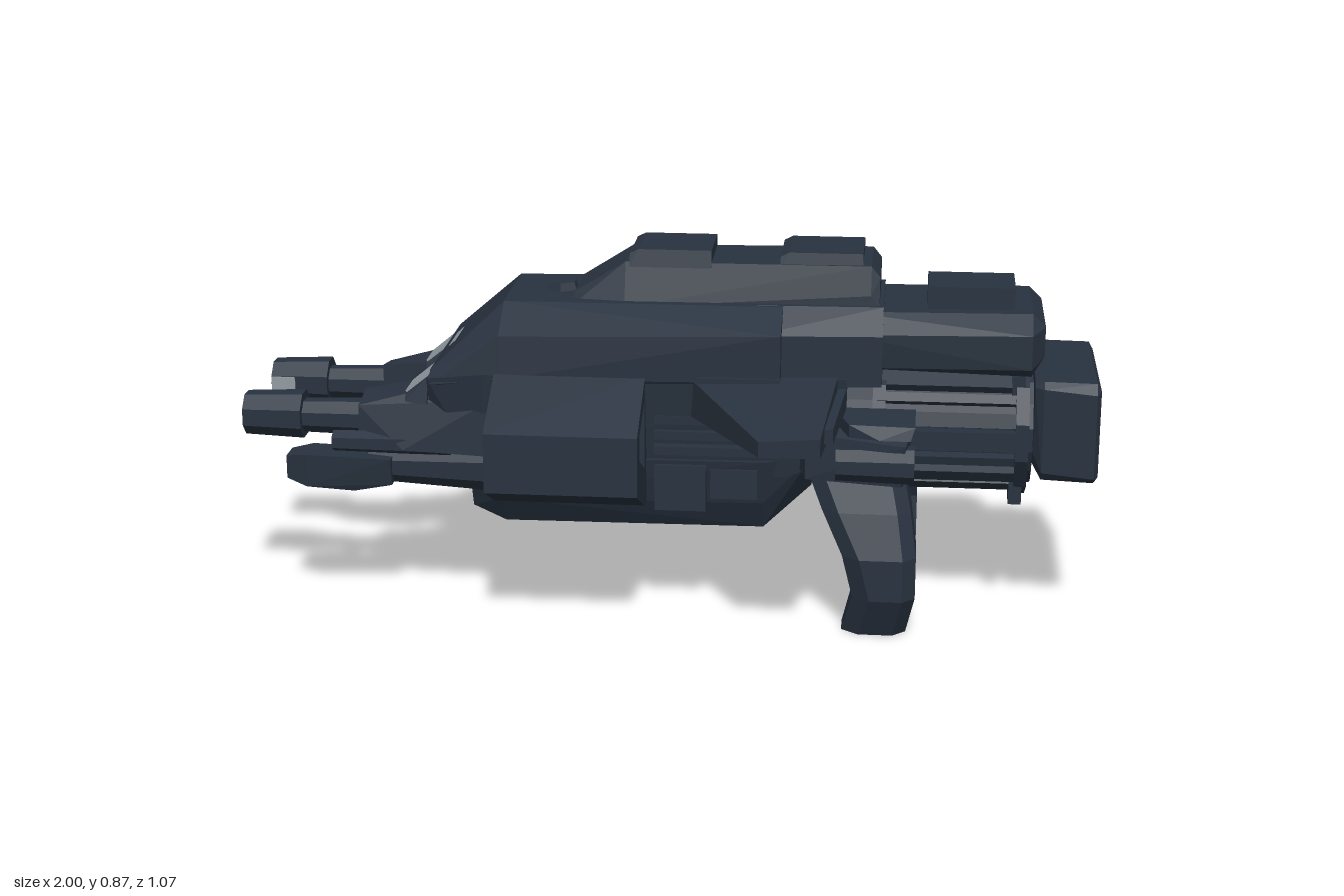
import * as THREE from 'three';
import { ConvexGeometry } from 'three/addons/geometries/ConvexGeometry.js';

export function createModel() {
  const root = new THREE.Group();
  root.name = 'gunship';
  const mat = (name, color) => {
    const m = new THREE.MeshStandardMaterial({ color, flatShading: true });
    m.name = name;
    return m;
  };
  const armour = mat('dark slate armour', 0x28323f);
  const glass = mat('pale grey glass', 0x939ca3);

  const add = (name, geometry, material = armour) => {
    const mesh = new THREE.Mesh(geometry, material);
    mesh.name = name;
    root.add(mesh);
    return mesh;
  };
  // convex solid from [x, y, z] points, with z multiplied by s
  const solid = (name, pts, s = 1, material = armour) =>
    add(name, new ConvexGeometry(pts.map(([x, y, z]) => new THREE.Vector3(x, y, z * s))), material);
  // symmetric solid from stations: [x, [[y, halfWidth], ...]]
  const hull = (name, stations) =>
    solid(name, stations.flatMap(([x, ring]) => ring.flatMap(([y, z]) => [[x, y, z], [x, y, -z]])));
  // box from min and max extents
  const box = (name, x0, x1, y0, y1, z0, z1, material = armour) => {
    const m = add(name, new THREE.BoxGeometry(x1 - x0, y1 - y0, Math.abs(z1 - z0)), material);
    m.position.set((x0 + x1) / 2, (y0 + y1) / 2, (z0 + z1) / 2);
    return m;
  };
  // cylinder along x
  const tube = (name, x0, x1, r0, r1, y, z, sides = 8) => {
    const g = new THREE.CylinderGeometry(r1, r0, x1 - x0, sides, 1).rotateY(Math.PI / sides).rotateZ(-Math.PI / 2);
    const m = add(name, g);
    m.position.set((x0 + x1) / 2, y, z);
    return m;
  };

  // main body
  hull('upperHull', [
    [-0.545, [[0.57, 0.225], [0.6, 0.2]]],
    [-0.38, [[0.59, 0.235], [0.69, 0.225], [0.75, 0.13]]],
    [0.27, [[0.6, 0.235], [0.71, 0.235], [0.757, 0.15]]],
  ]);
  hull('rearUpperHull', [
    [0.2, [[0.58, 0.2], [0.7, 0.2], [0.757, 0.14]]],
    [0.5, [[0.58, 0.18], [0.7, 0.18], [0.757, 0.13]]],
  ]);
  hull('middleHull', [
    [-0.55, [[0.52, 0.2], [0.585, 0.225]]],
    [-0.42, [[0.33, 0.2], [0.6, 0.235]]],
    [0.28, [[0.36, 0.19], [0.6, 0.23]]],
    [0.42, [[0.4, 0.17], [0.6, 0.19]]],
  ]);
  hull('lowerHull', [
    [-0.46, [[0.25, 0.14], [0.34, 0.18]]],
    [-0.38, [[0.22, 0.155], [0.29, 0.2], [0.4, 0.22]]],
    [0.23, [[0.22, 0.145], [0.29, 0.18], [0.4, 0.21]]],
    [0.34, [[0.31, 0.09], [0.4, 0.17]]],
  ]);
  box('noseBlock', -0.55, -0.4, 0.33, 0.53, -0.17, 0.17);

  // dorsal housing and top plates
  hull('dorsalHousing', [
    [-0.22, [[0.74, 0.1], [0.765, 0.08]]],
    [-0.1, [[0.74, 0.12], [0.84, 0.085]]],
    [0.47, [[0.74, 0.125], [0.78, 0.12], [0.845, 0.1]]],
    [0.49, [[0.75, 0.12], [0.82, 0.1]]],
  ]);
  for (const [x0, x1] of [[-0.09, 0.1], [0.26, 0.45]])
    hull('topPlate', [
      [x0, [[0.83, 0.095], [0.86, 0.085]]],
      [x0 + 0.02, [[0.87, 0.085]]],
      [x1, [[0.83, 0.095], [0.87, 0.085]]],
    ]);
  const dome = add('sensorDome', new THREE.CylinderGeometry(0.035, 0.05, 0.04, 6));
  dome.position.set(-0.26, 0.75, 0);

  // upper rear tank
  hull('rearTank', [
    [0.41, [[0.62, 0.16], [0.7, 0.17], [0.745, 0.13]]],
    [0.84, [[0.61, 0.16], [0.63, 0.18], [0.71, 0.18], [0.75, 0.13]]],
    [0.87, [[0.65, 0.13], [0.72, 0.13]]],
  ]);
  box('rearHatch', 0.6, 0.8, 0.74, 0.8, -0.05, 0.095);

  // ribbed engine drum and exhaust block
  tube('engineDrum', 0.38, 0.85, 0.145, 0.145, 0.455, 0, 16).scale.z = 1.1;
  for (let i = 0; i < 20; i++) {
    const a = (i / 20) * Math.PI * 2;
    const rib = add('engineRib', new THREE.BoxGeometry(0.32, 0.03, 0.022 + 0.012 * (i % 3)));
    rib.position.set(0.65, 0.455 + Math.cos(a) * 0.146, Math.sin(a) * 0.165);
    rib.rotation.x = a;
  }
  tube('engineCollar', 0.48, 0.51, 0.165, 0.165, 0.455, 0, 12).scale.z = 1.1;
  tube('engineFlange', 0.81, 0.84, 0.17, 0.17, 0.455, 0, 12).scale.z = 1.1;
  hull('exhaustBlock', [
    [0.85, [[0.43, 0.17], [0.4, 0.15], [0.59, 0.18], [0.605, 0.16]]],
    [0.87, [[0.37, 0.18], [0.39, 0.195], [0.59, 0.195], [0.605, 0.18]]],
    [0.99, [[0.365, 0.18], [0.38, 0.2], [0.58, 0.2], [0.603, 0.18]]],
    [1.0, [[0.38, 0.18], [0.585, 0.18]]],
  ]);

  // hollow side pod, section drawn as z, y; the duct differs per side
  const podGeometry = (duct) => {
    const toVectors = (pts) => pts.map((p) => new THREE.Vector2(...p));
    const shape = new THREE.Shape(
      toVectors([[0.2, 0.29], [0.25, 0.3], [0.4, 0.37], [0.4, 0.51], [0.23, 0.605], [0.2, 0.6]]));
    shape.holes.push(new THREE.Path(toVectors(duct)));
    return new THREE.ExtrudeGeometry(shape, { depth: 0.35, bevelEnabled: false }).rotateY(-Math.PI / 2);
  };
  add('sidePod', podGeometry([[0.245, 0.39], [0.245, 0.55], [0.35, 0.5], [0.35, 0.44]])).position.x = -0.04;
  const rightPod = add('sidePod', podGeometry([[0.25, 0.4], [0.25, 0.55], [0.35, 0.505], [0.335, 0.49]]));
  rightPod.position.x = -0.39;
  rightPod.rotation.y = Math.PI;

  // grip-shaped legs: y, front x, back x, inner z, outer z
  const legRings = [
    [0, 0.42, 0.57, 0.165, 0.255],
    [0.1, 0.445, 0.59, 0.16, 0.3],
    [0.2, 0.42, 0.59, 0.17, 0.3],
    [0.3, 0.37, 0.575, 0.125, 0.262],
    [0.39, 0.33, 0.555, 0.12, 0.22],
  ];
  const legRing = ([y, x0, x1, z0, z1]) => [
    [x0, y, z0], [x1, y, z0], [x0, y, z1 - 0.03], [x0 + 0.04, y, z1], [x1 - 0.03, y, z1], [x1, y, z1 - 0.03]];

  for (const s of [1, -1]) {
    // wing with trailing panel
    solid('wing', [
      [0.06, 0.51, 0.21], [0.06, 0.6, 0.21], [0.4, 0.51, 0.21], [0.4, 0.61, 0.21], [0.13, 0.52, 0.3],
      [0.24, 0.52, 0.535], [0.24, 0.555, 0.535], [0.375, 0.52, 0.535], [0.375, 0.565, 0.535]], s);
    solid('wingFlap', [
      [0.36, 0.53, 0.2], [0.36, 0.58, 0.2], [0.42, 0.53, 0.2], [0.42, 0.58, 0.2],
      [0.36, 0.53, 0.46], [0.36, 0.565, 0.46], [0.4, 0.53, 0.46], [0.4, 0.565, 0.46]], s);
    box('wingRoot', 0.08, 0.27, 0.53, 0.61, s * 0.18, s * 0.245);

    for (let i = 0; i < legRings.length - 1; i++)
      solid('leg', [...legRing(legRings[i]), ...legRing(legRings[i + 1])], s);
    solid('legBrace', [
      [0.44, 0.16, 0.125], [0.5, 0.16, 0.125], [0.44, 0.17, 0.15], [0.5, 0.17, 0.15],
      [0.38, 0.33, 0.07], [0.5, 0.33, 0.07], [0.38, 0.33, 0.13], [0.5, 0.33, 0.13]], s);

    // hip housing and side machinery
    solid('hipHousing', [
      [0.3, 0.39, 0.14], [0.3, 0.48, 0.14], [0.33, 0.37, 0.23], [0.33, 0.48, 0.23],
      [0.57, 0.34, 0.14], [0.58, 0.5, 0.14], [0.55, 0.36, 0.24], [0.56, 0.46, 0.25]], s);
    tube('hipJoint', 0.4, 0.58, 0.04, 0.045, 0.41, s * 0.225, 8);
    solid('hipFin', [
      [0.39, 0.5, 0.18], [0.39, 0.53, 0.18], [0.58, 0.5, 0.18], [0.58, 0.53, 0.18],
      [0.43, 0.49, 0.28], [0.43, 0.52, 0.28], [0.5, 0.49, 0.3], [0.57, 0.49, 0.3], [0.58, 0.52, 0.29]], s);
    for (let i = 0; i < 3; i++)
      box('sidePipe', -0.02, 0.34, 0.42 + i * 0.035, 0.44 + i * 0.035, s * 0.17, s * (0.235 - i * 0.006));
    box('sideCover', -0.02, 0.1, 0.28, 0.39, s * 0.15, s * 0.222);
    box('sideCover', 0.11, 0.22, 0.31, 0.38, s * 0.15, s * 0.215);
    box('rearStrut', 0.8, 0.83, 0.29, 0.6, s * 0.06, s * 0.13);

    // upper cannon
    tube('upperMuzzle', -1, -0.86, 0.052, 0.058, 0.465, s * 0.14);
    tube('upperBarrel', -0.87, -0.68, 0.04, 0.045, 0.462, s * 0.14);
    solid('upperCannonHousing', [
      [-0.72, 0.42, 0.09], [-0.72, 0.42, 0.2], [-0.72, 0.52, 0.1], [-0.72, 0.505, 0.19],
      [-0.61, 0.41, 0.07], [-0.61, 0.41, 0.23], [-0.61, 0.535, 0.075], [-0.61, 0.535, 0.19],
      [-0.4, 0.4, 0.07], [-0.4, 0.4, 0.23], [-0.4, 0.535, 0.07], [-0.4, 0.535, 0.22]], s);
    // wedge rising to the nose, faced with pale glass
    solid('cannonHood', [
      [-0.607, 0.52, 0.07], [-0.607, 0.52, 0.2], [-0.607, 0.535, 0.075], [-0.607, 0.535, 0.19],
      [-0.552, 0.52, 0.07], [-0.552, 0.52, 0.22], [-0.552, 0.58, 0.075], [-0.552, 0.58, 0.19]], s);
    solid('cannonGlass', [
      [-0.61, 0.539, 0.085], [-0.61, 0.539, 0.175], [-0.556, 0.583, 0.08], [-0.556, 0.583, 0.18],
      [-0.606, 0.534, 0.085], [-0.606, 0.534, 0.175], [-0.552, 0.578, 0.08], [-0.552, 0.578, 0.18]], s, glass);
    // pale plate on the inner side of the muzzle
    box('muzzleGlass', -0.998, -0.94, 0.446, 0.484, s * 0.0855, s * 0.0945, glass);

    // lower cannon
    solid('lowerMuzzle', [
      [-0.89, 0.33, 0.16], [-0.89, 0.33, 0.22], [-0.89, 0.385, 0.16], [-0.89, 0.385, 0.22],
      [-0.84, 0.315, 0.15], [-0.84, 0.315, 0.235], [-0.84, 0.395, 0.15], [-0.84, 0.395, 0.24],
      [-0.73, 0.303, 0.14], [-0.73, 0.303, 0.22], [-0.64, 0.32, 0.14], [-0.64, 0.32, 0.22],
      [-0.64, 0.385, 0.14], [-0.64, 0.385, 0.23]], s);
    tube('lowerBarrel', -0.7, -0.4, 0.042, 0.06, 0.36, s * 0.17);
    tube('cannonLink', -0.78, -0.5, 0.025, 0.03, 0.42, s * 0.2, 6);
  }

  // slit window on the sloped nose
  const slit = box('noseSlit', -0.526, -0.504, 0.618, 0.627, -0.06, 0.06, glass);
  slit.rotation.z = Math.atan2(0.15, 0.165);
  return root;
}
